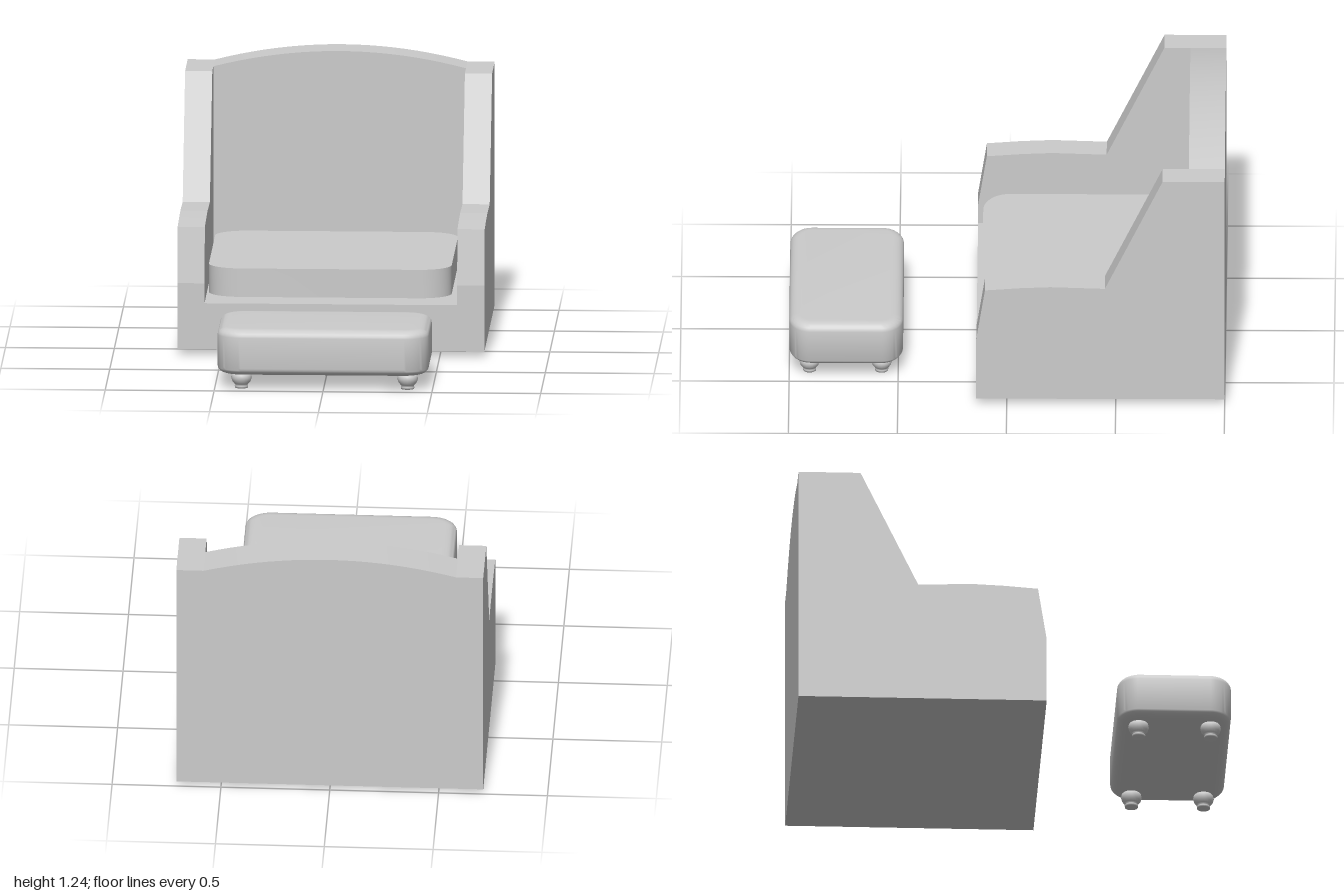
import * as THREE from 'three';
import { toCreasedNormals } from 'three/addons/utils/BufferGeometryUtils.js';

const material = new THREE.MeshStandardMaterial({ color: 0xcccccc });

function addMesh(parent, name, geometry) {
  const mesh = new THREE.Mesh(geometry, material);
  mesh.name = name;
  parent.add(mesh);
  return mesh;
}

// Centred rectangle with elliptical corners
function roundedRect(w, d, rx, ry) {
  const s = new THREE.Shape();
  const x = w / 2, y = d / 2;
  s.moveTo(-x + rx, -y);
  s.lineTo(x - rx, -y);
  s.absellipse(x - rx, -y + ry, rx, ry, -Math.PI / 2, 0, false);
  s.absellipse(x - rx, y - ry, rx, ry, 0, Math.PI / 2, false);
  s.absellipse(-x + rx, y - ry, rx, ry, Math.PI / 2, Math.PI, false);
  s.absellipse(-x + rx, -y + ry, rx, ry, Math.PI, Math.PI * 1.5, false);
  return s;
}

export function createModel() {
  const model = new THREE.Group();
  model.name = 'armchairWithFootstool';

  const chair = new THREE.Group();
  chair.name = 'armchair';
  model.add(chair);

  // Side panels: one profile (depth, height) drawn across the chair
  const profile = [[0.14, 0.025], [0.14, 0.335], [0.1, 0.59], [-0.06, 0.602], [-0.2, 0.608],
    [-0.45, 0.6], [-0.715, 1.16], [-1, 1.16], [-1, 0.025]];
  const armShape = new THREE.Shape(profile.map(([z, y]) => new THREE.Vector2(-z, y)));
  for (const [name, x] of [['leftArm', 0.58], ['rightArm', -0.705]]) {
    const arm = new THREE.ExtrudeGeometry(armShape, { depth: 0.125, bevelEnabled: false });
    arm.rotateY(Math.PI / 2);
    addMesh(chair, name, arm).position.x = x;
  }

  // Backrest with a gently arched top
  const backShape = new THREE.Shape();
  backShape.moveTo(-0.58, 0.025);
  backShape.lineTo(0.58, 0.025);
  backShape.lineTo(0.58, 1.16);
  backShape.quadraticCurveTo(0, 1.312, -0.58, 1.16);
  const back = new THREE.ExtrudeGeometry(backShape, { depth: 0.165, bevelEnabled: false, curveSegments: 20 });
  addMesh(chair, 'backrest', toCreasedNormals(back, 0.1)).position.z = -1;

  // Seat base between the arms
  addMesh(chair, 'seatBase', new THREE.BoxGeometry(1.16, 0.217, 0.975)).position.set(0, 0.1335, -0.3475);

  // Seat cushion
  const cushion = new THREE.ExtrudeGeometry(roundedRect(1.115, 0.91, 0.15, 0.12),
    { depth: 0.133, bevelEnabled: false, curveSegments: 8 });
  cushion.rotateX(-Math.PI / 2);
  addMesh(chair, 'seatCushion', toCreasedNormals(cushion, 0.5)).position.set(-0.008, 0.268, -0.34);

  // Footstool
  const stool = new THREE.Group();
  stool.name = 'footstool';
  stool.position.set(-0.003, 0, 0.739);
  model.add(stool);

  const bevel = 0.05, rise = 0.035;
  const pad = new THREE.ExtrudeGeometry(roundedRect(0.97 - 2 * bevel, 0.522 - 2 * bevel, 0.07, 0.05), {
    depth: 0.213 - 2 * rise, bevelSize: bevel, bevelThickness: rise, bevelSegments: 6, curveSegments: 8,
  });
  pad.rotateX(-Math.PI / 2);
  addMesh(stool, 'footstoolPad', toCreasedNormals(pad, 0.6)).position.y = 0.069 + rise;

  // Turned ball feet
  const footProfile = [[0, 0], [0.03, 0], [0.031, 0.01], [0.027, 0.014], [0.034, 0.02], [0.043, 0.032],
    [0.048, 0.048], [0.045, 0.062], [0.035, 0.074], [0, 0.078]].map(([r, y]) => new THREE.Vector2(r, y));
  const foot = new THREE.LatheGeometry(footProfile, 20);
  for (const x of [-0.375, 0.388]) {
    for (const z of [-0.163, 0.168]) {
      addMesh(stool, 'footstoolFoot', foot).position.set(x, 0, z);
    }
  }

  return model;
}
